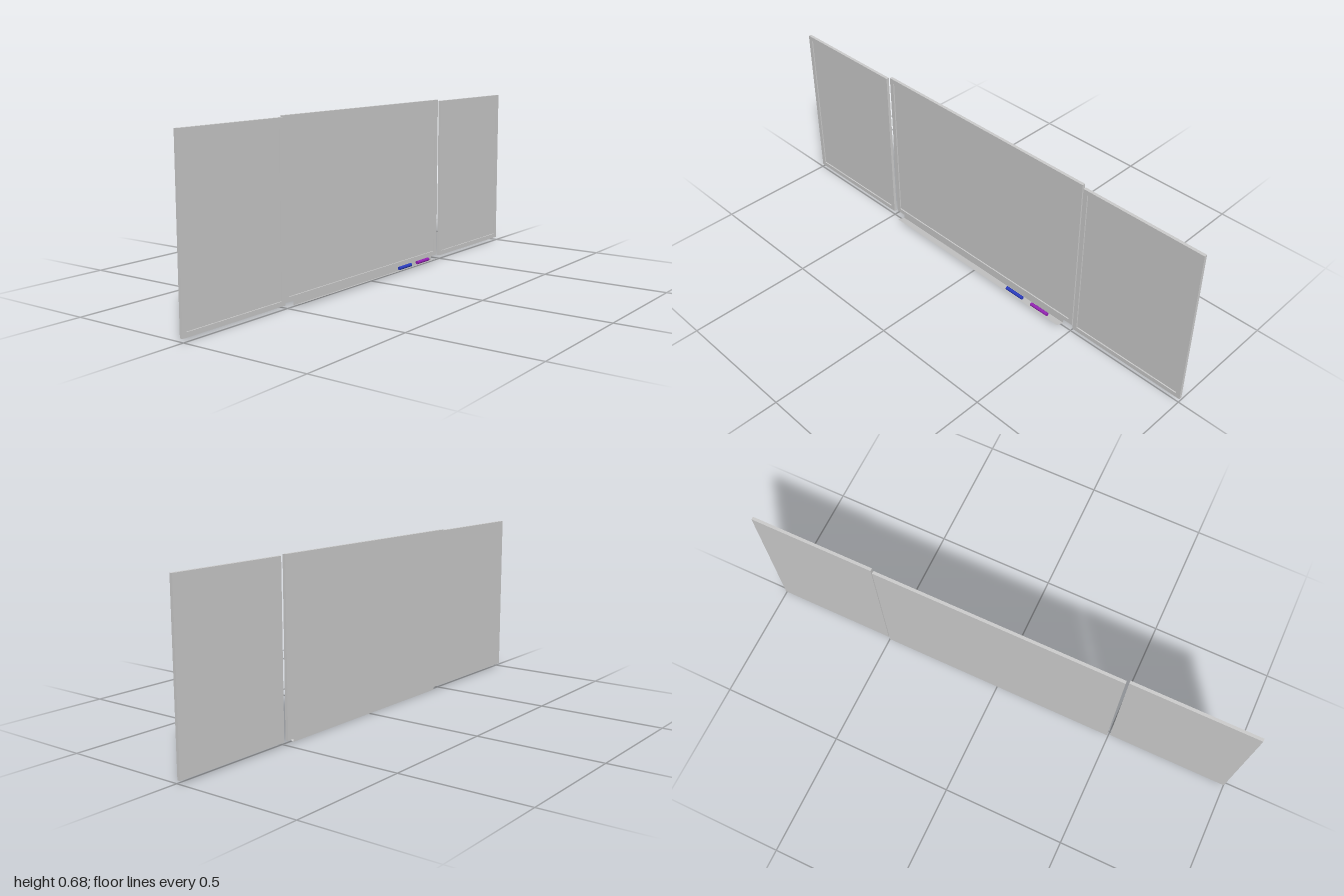
import * as THREE from 'three';

const grey = new THREE.MeshStandardMaterial({ color: 0xcccccc });
const greySheet = new THREE.MeshStandardMaterial({ color: 0xcccccc, side: THREE.DoubleSide });

// Framed board facing +x: w along z, h along y, depth along x
function board(name, x, y, z, w, h) {
  const depth = 0.012, rim = 0.018, inset = 0.005;
  const group = new THREE.Group();
  group.name = name;

  const outline = new THREE.Shape([
    new THREE.Vector2(-w / 2, -h / 2), new THREE.Vector2(w / 2, -h / 2),
    new THREE.Vector2(w / 2, h / 2), new THREE.Vector2(-w / 2, h / 2),
  ]);
  const a = w / 2 - rim, b = h / 2 - rim;
  outline.holes.push(new THREE.Path([
    new THREE.Vector2(-a, -b), new THREE.Vector2(-a, b),
    new THREE.Vector2(a, b), new THREE.Vector2(a, -b),
  ]));
  const frameGeo = new THREE.ExtrudeGeometry(outline, { depth, bevelEnabled: false });
  frameGeo.translate(0, 0, -depth / 2).rotateY(Math.PI / 2);
  const frame = new THREE.Mesh(frameGeo, grey);
  frame.name = 'frame';

  const panel = new THREE.Mesh(new THREE.BoxGeometry(depth - inset, 2 * b, 2 * a), grey);
  panel.name = 'writingSurface';
  panel.position.x = -inset / 2;

  group.add(frame, panel);
  group.position.set(x, y, z);
  return group;
}

// Thin folded sheet: a profile in x, y swept along z
function sheet(name, profile, length) {
  const pos = [];
  for (let i = 0; i < profile.length - 1; i++) {
    const [x0, y0] = profile[i], [x1, y1] = profile[i + 1], l = length / 2;
    pos.push(x0, y0, -l, x0, y0, l, x1, y1, l, x0, y0, -l, x1, y1, l, x1, y1, -l);
  }
  const geo = new THREE.BufferGeometry();
  geo.setAttribute('position', new THREE.Float32BufferAttribute(pos, 3));
  geo.computeVertexNormals();
  const mesh = new THREE.Mesh(geo, greySheet);
  mesh.name = name;
  return mesh;
}

export function createModel() {
  const model = new THREE.Group();
  model.name = 'foldingWhiteboard';

  // Main board and the two wings, set slightly forward and lower
  model.add(board('mainBoard', -0.018, 0.348, 0, 0.99, 0.662));
  for (const side of [-1, 1]) {
    model.add(board(side < 0 ? 'rightWing' : 'leftWing', -0.0095, 0.343, side * 0.753, 0.494, 0.662));
  }

  // Pen tray: flange against the board, shelf rising to its front edge
  model.add(sheet('penTray', [[-0.012, 0.017], [-0.012, 0], [0.024, 0.012]], 0.905));

  // Markers lying in the tray
  for (const [name, color, z] of [['blueMarker', 0x2a3cc0, -0.22], ['purpleMarker', 0x9422b4, -0.35]]) {
    const marker = new THREE.Mesh(
      new THREE.CylinderGeometry(0.007, 0.007, 0.084, 16).rotateX(Math.PI / 2),
      new THREE.MeshStandardMaterial({ color }));
    marker.name = name;
    marker.position.set(0.012, 0.018, z);
    model.add(marker);
  }
  return model;
}
